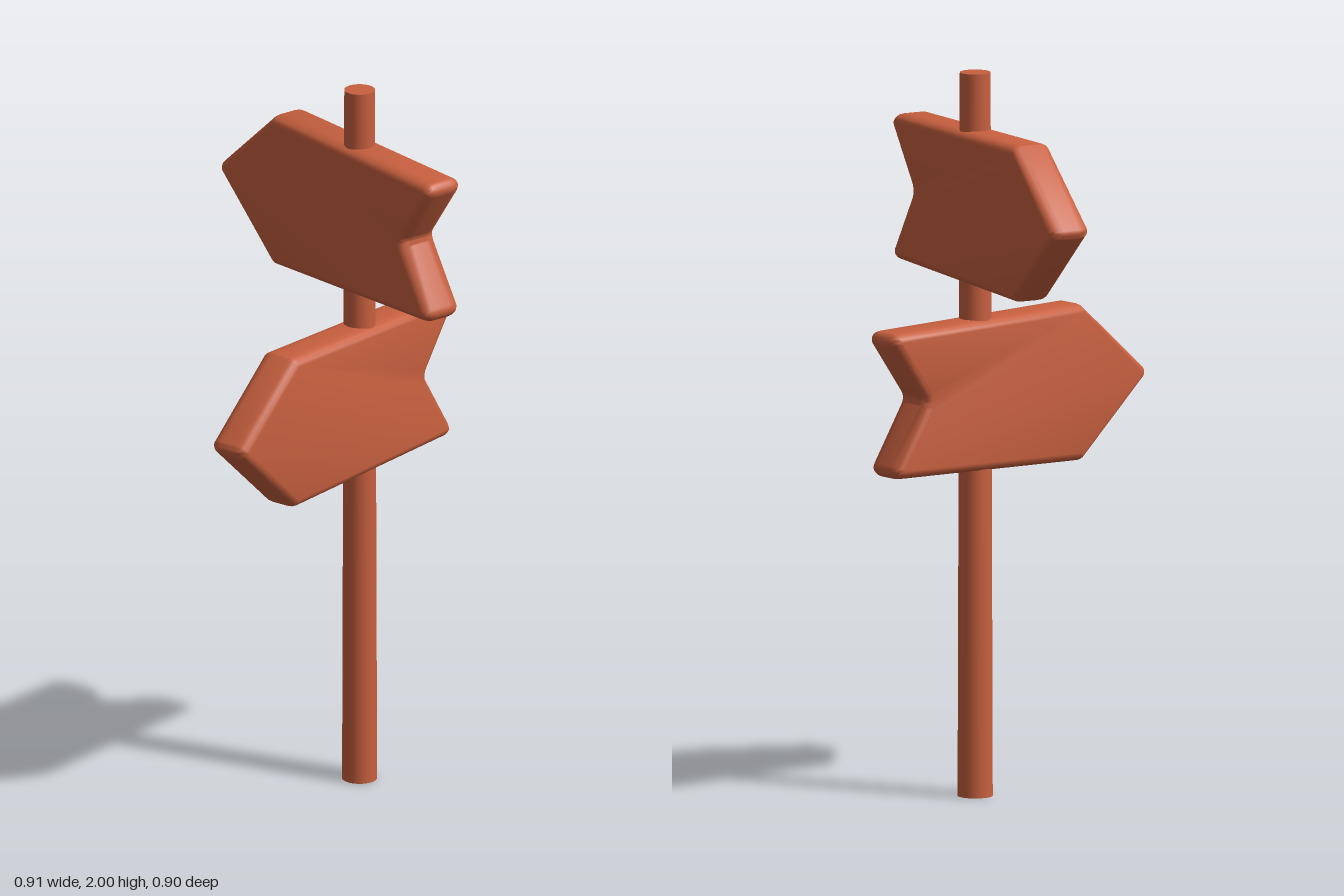
import * as THREE from 'three';
import { toCreasedNormals } from 'three/addons/utils/BufferGeometryUtils.js';

const POLE_X = 0.085, POLE_Z = -0.115;

// Closed polygon (counter-clockwise) whose corners are rounded with arcs
function roundedPolygon(points, radius) {
  const shape = new THREE.Shape();
  const n = points.length;
  for (let i = 0; i < n; i++) {
    const p = points[i];
    const a = points[(i + n - 1) % n].clone().sub(p).normalize();
    const b = points[(i + 1) % n].clone().sub(p).normalize();
    const half = Math.acos(a.dot(b)) / 2;
    const centre = a.clone().add(b).normalize().multiplyScalar(radius / Math.sin(half)).add(p);
    const reach = radius / Math.tan(half);
    const start = a.multiplyScalar(reach).add(p).sub(centre);
    const end = b.multiplyScalar(reach).add(p).sub(centre);
    const clockwise = start.cross(end) < 0;
    shape.absarc(centre.x, centre.y, radius, start.angle(), end.angle(), clockwise);
  }
  shape.closePath();
  return shape;
}

// Arrow board with notched tail; local origin lies on the pole axis, tip at -x
function arrowGeometry() {
  const outline = [
    [-0.553, 0.005], [-0.31, -0.217], [0.383, -0.196],
    [0.252, 0.01], [0.393, 0.206], [-0.31, 0.217],
  ].map(([x, y]) => new THREE.Vector2(x, y));
  const bevel = 0.023, bevelDepth = 0.035, thickness = 0.12;
  const depth = thickness - 2 * bevelDepth;
  const geometry = new THREE.ExtrudeGeometry(roundedPolygon(outline, 0.025), {
    depth, curveSegments: 3, bevelSegments: 4,
    bevelSize: bevel, bevelOffset: -bevel, bevelThickness: bevelDepth,
  });
  geometry.translate(0, 0, -depth / 2);
  return toCreasedNormals(geometry, 0.7);
}

export function createModel() {
  const group = new THREE.Group();
  group.name = 'signpost';
  const material = new THREE.MeshStandardMaterial({ color: 0xc8603f });

  // Slightly tapering post
  const pole = new THREE.Mesh(new THREE.CylinderGeometry(0.042, 0.048, 2, 24), material);
  pole.name = 'pole';
  pole.position.set(POLE_X, 1, POLE_Z);
  group.add(pole);

  // Two boards sharing one shape, the lower one turned toward the front
  const board = arrowGeometry();
  const addBoard = (name, y, angle, shift) => {
    const mesh = new THREE.Mesh(board, material);
    mesh.name = name;
    mesh.position.set(POLE_X, y, POLE_Z);
    mesh.rotation.y = angle;
    mesh.translateX(shift);
    group.add(mesh);
  };
  addBoard('upperArrowBoard', 1.63, 0, 0);
  addBoard('lowerArrowBoard', 1.11, THREE.MathUtils.degToRad(102), -0.033);

  return group;
}
